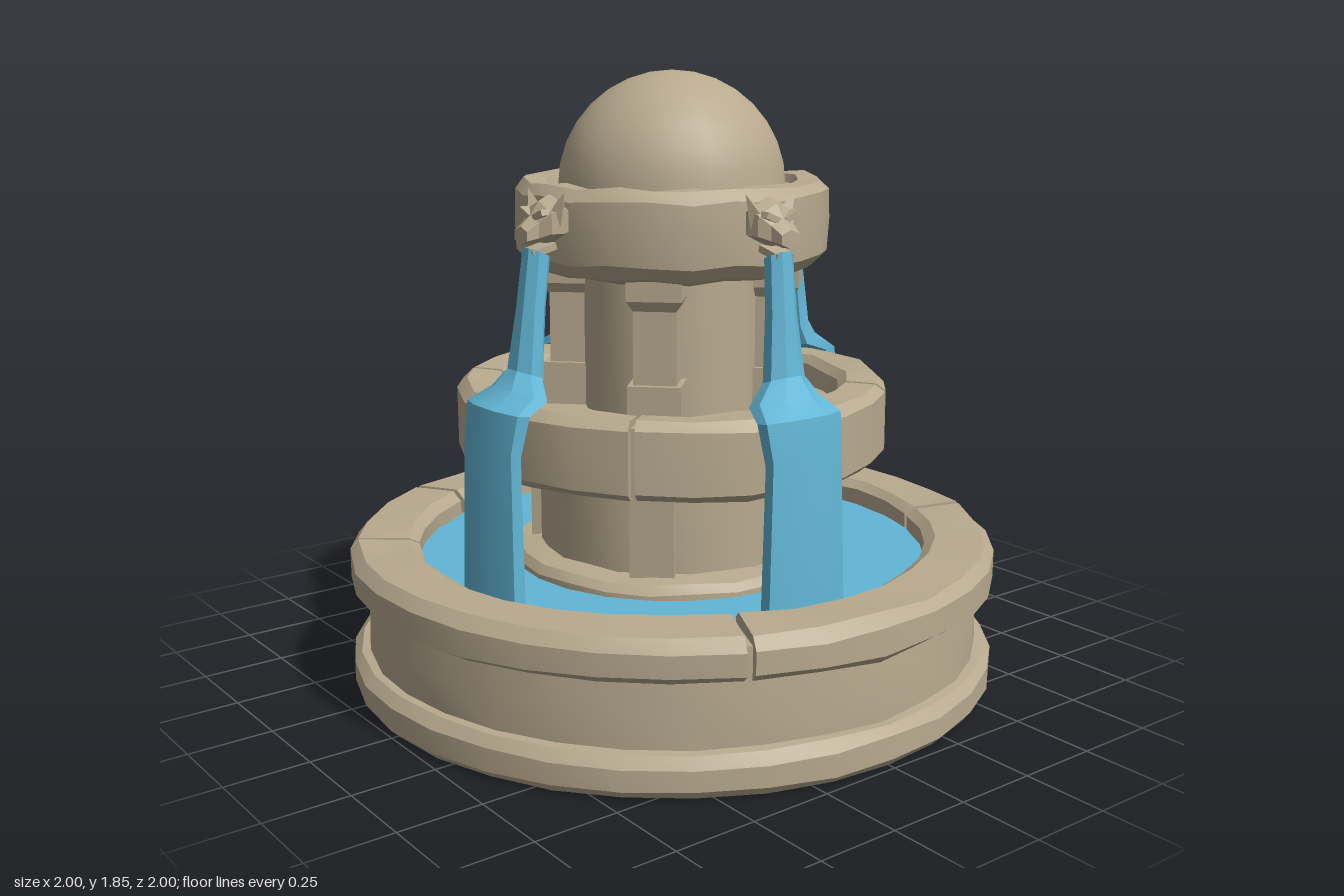
import * as THREE from 'three';
import { mergeGeometries, toCreasedNormals } from 'three/addons/utils/BufferGeometryUtils.js';

const stone = new THREE.MeshStandardMaterial({ color: 0xb8aa8f });
stone.name = 'stone';
const water = new THREE.MeshStandardMaterial({ color: 0x62b6d6 });
water.name = 'water';

const rad = THREE.MathUtils.degToRad;

// Slightly uneven, hand-cut surface
function wear(geo, amp) {
  const p = geo.attributes.position;
  for (let i = 0; i < p.count; i++) {
    const x = p.getX(i), y = p.getY(i), z = p.getZ(i);
    const a = amp * Math.sin(23 * x + 41 * y + 17 * z);
    const b = amp * Math.sin(19 * x - 31 * y + 29 * z);
    p.setXYZ(i, x * (1 - Math.abs(a)), y < 0.01 ? y : y + b, z * (1 - Math.abs(a)));
  }
  return geo;
}

function add(parent, name, geo, mat = stone, crease = 0.4) {
  const mesh = new THREE.Mesh(toCreasedNormals(geo, crease), mat);
  mesh.name = name;
  parent.add(mesh);
  return mesh;
}

function lathe(points, segs, start = 0, length = Math.PI * 2) {
  return new THREE.LatheGeometry(points.map(([r, y]) => new THREE.Vector2(r, y)), segs, start, length);
}

// One curved block of a ring, with closed ends
function arcBlock(profile, start, end, step) {
  const segs = Math.max(2, Math.round((end - start) / step));
  const body = lathe([...profile, profile[0]], segs, start, end - start);
  const shape = new THREE.Shape(profile.map(([r, y]) => new THREE.Vector2(r, y)));
  const caps = [start, end].map((phi, k) => {
    const cap = new THREE.ShapeGeometry(shape);
    if (k) cap.setIndex([...cap.index.array].reverse());
    return cap.rotateY(phi - Math.PI / 2);
  });
  return mergeGeometries([body, ...caps]);
}

// Ring of blocks split by narrow joints at the given angles
function blockRing(parent, name, profile, joints, step, gap) {
  joints.forEach((j, i) => {
    const next = i + 1 < joints.length ? joints[i + 1] : joints[0] + 360;
    add(parent, name, wear(arcBlock(profile, rad(j) + gap, rad(next) - gap, rad(step)), 0.006));
  });
}

// Solid skin over a series of rings of equal point count
function loft(rings) {
  const n = rings[0].length, last = (rings.length - 1) * n, index = [];
  for (let r = 0; r < rings.length - 1; r++) {
    for (let i = 0; i < n; i++) {
      const a = r * n + i, b = r * n + (i + 1) % n;
      index.push(a, b, b + n, a, b + n, a + n);
    }
  }
  for (let i = 1; i < n - 1; i++) index.push(0, i + 1, i, last, last + i, last + i + 1);
  const geo = new THREE.BufferGeometry();
  geo.setAttribute('position', new THREE.Float32BufferAttribute(rings.flat(2), 3));
  geo.setIndex(index);
  return geo;
}

const circle = (n, fn) => Array.from({ length: n }, (_, i) => {
  const t = ((i + 0.5) / n) * Math.PI * 2;
  return fn(Math.cos(t), Math.sin(t));
});

// Falling water: [share of sideways drift, half width, inner z, inner y, outer z, outer y]
const FALL = [
  [0.0, 0.04, 0.49, 1.34, 0.56, 1.37],
  [0.2, 0.045, 0.51, 1.2, 0.585, 1.2],
  [0.4, 0.062, 0.53, 1.0, 0.615, 1.03],
  [0.8, 0.11, 0.54, 0.94, 0.65, 0.98],
  [1.0, 0.135, 0.62, 0.92, 0.715, 0.935],
  [1.0, 0.125, 0.65, 0.8, 0.728, 0.83],
  [1.0, 0.14, 0.65, 0.34, 0.738, 0.36],
];

function waterfall(from, to) {
  return loft(FALL.map(([mix, w, zi, yi, zo, yo]) => circle(8, (c, s) => {
    const k = 0.5 + s * 0.54;
    return [from + (to - from) * mix + w * c * 1.08, yi + (yo - yi) * k, zi + (zo - zi) * k];
  })));
}

// Beast head spout: [z, y, half width, half height]
const HEAD = [
  [0.43, 1.44, 0.05, 0.05],
  [0.48, 1.445, 0.078, 0.07],
  [0.515, 1.44, 0.07, 0.058],
  [0.54, 1.42, 0.042, 0.042],
  [0.575, 1.405, 0.034, 0.026],
];

function spoutHead() {
  const head = new THREE.Group();
  head.name = 'spoutHead';
  add(head, 'face', loft(HEAD.map(([z, y, w, h]) => circle(6, (c, s) => [w * c * 1.1, y + h * s, z]))), stone, 0.2);
  add(head, 'jaw', new THREE.BoxGeometry(0.06, 0.02, 0.08).rotateX(0.25).translate(0, 1.362, 0.515));
  for (const side of [-1, 1]) {
    add(head, 'ear', new THREE.ConeGeometry(0.034, 0.09, 4).rotateZ(-side * 0.55).translate(side * 0.068, 1.488, 0.49), stone, 0.2);
    add(head, 'brow', new THREE.BoxGeometry(0.05, 0.018, 0.03).rotateZ(side * 0.4).translate(side * 0.034, 1.462, 0.528));
  }
  return head;
}

export function createModel() {
  const model = new THREE.Group();
  model.name = 'fountain';

  // Basin: plinth and drum, then rim blocks around the pool
  add(model, 'basinDrum', wear(lathe([
    [0, 0], [0.98, 0], [1, 0.025], [1, 0.09], [0.975, 0.118], [0.95, 0.12],
    [0.95, 0.22], [0.945, 0.33], [0, 0.33],
  ], 32), 0.005));
  add(model, 'rimCore', arcBlock([[0.82, 0.32], [0.965, 0.32], [0.965, 0.41], [0.82, 0.41]], 0, Math.PI * 2, rad(12)));
  blockRing(model, 'rimBlock', [
    [0.79, 0.31], [0.97, 0.31], [1, 0.335], [1, 0.41], [0.97, 0.442], [0.82, 0.442], [0.79, 0.42],
  ], [66.5, 143, 206, 242, 334.5], 11, 0.012);
  add(model, 'pool', new THREE.CircleGeometry(0.815, 40).rotateX(-Math.PI / 2).translate(0, 0.37, 0), water);

  // Lower pedestal
  add(model, 'pedestal', wear(lathe([
    [0.5, 0.34], [0.5, 0.385], [0.48, 0.41], [0.41, 0.42], [0.41, 0.72],
  ], 24), 0.004));

  // Middle bowl
  add(model, 'bowlFloor', lathe([[0, 0.71], [0.625, 0.71], [0.625, 0.84], [0, 0.84]], 24));
  add(model, 'bowlCore', arcBlock([[0.54, 0.8], [0.625, 0.8], [0.625, 0.905], [0.54, 0.905]], 0, Math.PI * 2, rad(15)));
  blockRing(model, 'bowlBlock', [
    [0.4, 0.698], [0.625, 0.698], [0.66, 0.725], [0.66, 0.9], [0.63, 0.93], [0.54, 0.925], [0.515, 0.9], [0.5, 0.8],
  ], [40, 142, 225, 313], 15, 0.014);

  // Upper core with pillars on the diagonals
  add(model, 'upperCore', lathe([[0.27, 0.83], [0.27, 1.3]], 20));
  for (let i = 0; i < 4; i++) {
    const pillar = new THREE.Group();
    pillar.name = 'pillar';
    pillar.rotation.y = Math.PI / 4 + i * Math.PI / 2;
    add(pillar, 'pilaster', new THREE.BoxGeometry(0.13, 0.34, 0.1).translate(0, 0.54, 0.385));
    add(pillar, 'pillarShaft', new THREE.BoxGeometry(0.125, 0.44, 0.125).translate(0, 1.05, 0.305));
    add(pillar, 'pillarFoot', new THREE.BoxGeometry(0.155, 0.13, 0.155).translate(0, 0.905, 0.31));
    const cap = new THREE.CylinderGeometry(0.112, 0.112, 0.06, 4).rotateY(Math.PI / 4);
    const neck = new THREE.CylinderGeometry(0.112, 0.088, 0.03, 4).rotateY(Math.PI / 4);
    add(pillar, 'pillarCap', mergeGeometries([cap.translate(0, 1.245, 0.31), neck.translate(0, 1.2, 0.31)]));
    model.add(pillar);
  }

  // Top drum and dome
  add(model, 'topDrum', wear(lathe([
    [0, 1.27], [0.38, 1.265], [0.43, 1.28], [0.47, 1.32], [0.475, 1.42], [0.472, 1.5], [0.445, 1.533],
    [0.38, 1.53], [0.365, 1.505], [0, 1.505],
  ], 24), 0.006));
  add(model, 'dome', new THREE.SphereGeometry(0.342, 20, 8, 0, Math.PI * 2, 0, Math.PI / 2).translate(0, 1.508, 0), stone, 0.6);

  // Spouts: [turn, sideways place of head, sideways place of the lower fall]
  for (const [turn, head, fall] of [[0, -0.03, -0.07], [90, 0.06, 0.14], [180, -0.04, -0.085], [-90, 0.06, 0.07]]) {
    const spout = new THREE.Group();
    spout.name = 'spout';
    spout.rotation.y = rad(turn);
    const face = spoutHead();
    face.position.x = head;
    spout.add(face);
    add(spout, 'waterfall', waterfall(head, fall), water);
    model.add(spout);
  }
  return model;
}
